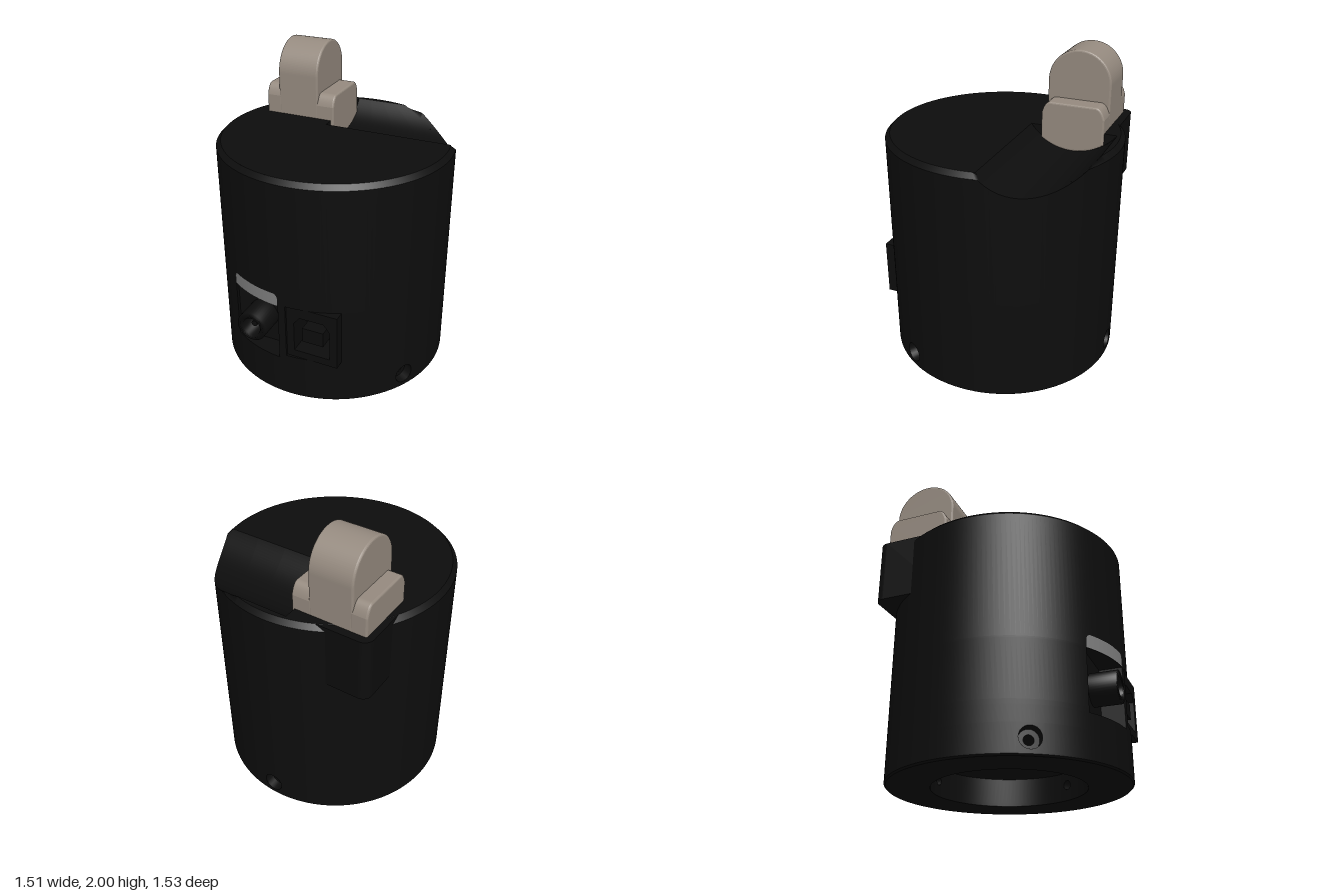
import * as THREE from 'three';
import { ParametricGeometry } from 'three/addons/geometries/ParametricGeometry.js';

const R = 0.755, TOP = 1.52, CH = 0.03, BORE = 0.48, BORE_H = 0.18;
const HOLE_Y = 0.1, HOLE_HALF = 0.1;
// Groove across the lid: a cylinder running along x
const GR = 0.355, GY = 1.735, GW = 0.41, GX = -0.13;
const GHALF = Math.sqrt(GR * GR - (GY - TOP) ** 2);

const black = new THREE.MeshStandardMaterial({ color: 0x0d0d0d, side: THREE.DoubleSide });
const taupe = new THREE.MeshStandardMaterial({ color: 0x968b80 });
const grey = new THREE.MeshStandardMaterial({ color: 0x808080, side: THREE.DoubleSide });

const lerp = THREE.MathUtils.lerp;
const angleAt = (x) => Math.asin(x / R);
const surfaceZ = (x) => Math.sqrt(R * R - x * x);
// Height of the lid at a point, given its distance w towards the back
const lidHeight = (x, w) =>
  x > GX && Math.abs(w - GW) < GHALF ? GY - Math.sqrt(GR * GR - (w - GW) ** 2) : TOP;

export function createModel() {
  const model = new THREE.Group();
  const body = new THREE.Group();
  body.name = 'body';
  body.position.z = -0.01;
  model.add(body);

  const add = (parent, name, geometry, material = black) => {
    const mesh = new THREE.Mesh(geometry, material);
    mesh.name = name;
    parent.add(mesh);
    return mesh;
  };
  const surface = (name, fn, nu, nv, material) =>
    add(body, name, new ParametricGeometry(fn, nu, nv), material);
  const polar = (t, angle, r, y) => t.set(r * Math.sin(angle), y, r * Math.cos(angle));

  // Outer wall: a grid of curved cells, leaving out the ports and screw holes
  const holes = [-Math.PI, -Math.PI / 3, Math.PI / 3];
  const ports = [
    { x0: -0.41, x1: -0.05, y0: 0.28, y1: 0.67, z: 0.61 },
    { x0: 0, x1: 0.34, y0: 0.31, y1: 0.68, z: 0.74 },
  ];
  const angles = [
    ...holes.flatMap((h) => [h - HOLE_HALF, h + HOLE_HALF]),
    ...ports.flatMap((p) => [angleAt(p.x0), angleAt(p.x1)]),
    Math.PI - HOLE_HALF,
  ].sort((a, b) => a - b);
  const levels = [0.01, 0.02, 0.18, 0.28, 0.31, 0.67, 0.68, TOP - CH];
  for (let i = 0; i < angles.length - 1; i++) {
    const a0 = angles[i], a1 = angles[i + 1], mid = (a0 + a1) / 2;
    const n = Math.ceil((a1 - a0) / 0.04);
    for (let j = 0; j < levels.length - 1; j++) {
      const y0 = levels[j], y1 = levels[j + 1], ym = (y0 + y1) / 2;
      const isHole = j === 1 && holes.some((h) => Math.abs(h - mid) < 0.01);
      const isPort = ports.some((p) => mid > angleAt(p.x0) && mid < angleAt(p.x1) && ym > p.y0 && ym < p.y1);
      if (isHole || isPort) continue;
      surface('outerWall', (u, v, t) => {
        const a = lerp(a0, a1, u);
        const lid = lidHeight(R * Math.sin(a), -R * Math.cos(a));
        polar(t, a, R, Math.min(lerp(y0, y1, v), lid));
      }, n, 1);
    }
  }

  // Chamfered top rim, following the groove where it runs out
  surface('topRim', (u, v, t) => {
    const a = u * Math.PI * 2, r = R - CH * v;
    const lid = lidHeight(r * Math.sin(a), -r * Math.cos(a));
    polar(t, a, r, Math.min(TOP - CH + CH * v, lid));
  }, 200, 1);

  // Flat lid with the groove left out
  const rc = R - CH, w0 = GW - GHALF, w1 = GW + GHALF;
  const lid = new THREE.Shape();
  lid.absarc(0, 0, rc, Math.asin(w1 / rc), Math.PI * 2 + Math.asin(w0 / rc), false);
  lid.lineTo(GX, w0);
  lid.lineTo(GX, w1);
  lid.closePath();
  add(body, 'lid', new THREE.ShapeGeometry(lid, 100).rotateX(-Math.PI / 2).translate(0, TOP, 0));

  // Groove floor and its end wall
  const grooveY = (w) => GY - Math.sqrt(GR * GR - (w - GW) ** 2);
  surface('grooveFloor', (u, v, t) => {
    const w = lerp(w0, w1, v);
    t.set(lerp(GX, Math.sqrt(rc * rc - w * w), u), grooveY(w), -w);
  }, 4, 40);
  surface('grooveEnd', (u, v, t) => {
    const w = lerp(w0, w1, u);
    t.set(GX, lerp(TOP, grooveY(w), v), -w);
  }, 24, 1);

  // Underside and shallow bore
  const under = [[R, 0.01], [R - 0.01, 0], [BORE, 0], [BORE, 0.02]];
  for (let i = 0; i < 3; i++) {
    const pair = [under[i + 1], under[i]].map((p) => new THREE.Vector2(...p));
    add(body, 'underside', new THREE.LatheGeometry(pair, 128));
  }
  add(body, 'boreCeiling', new THREE.CircleGeometry(BORE, 96).rotateX(Math.PI / 2).translate(0, BORE_H, 0));
  for (const h of holes) {
    surface('boreWall', (u, v, t) =>
      polar(t, lerp(h + HOLE_HALF, h + Math.PI * 2 / 3 - HOLE_HALF, u), BORE, lerp(0.02, BORE_H, v)), 36, 1);

    // Screw hole: wall patches around the opening and a stepped tube between
    for (const [r, hole] of [[R, 0.065], [BORE, 0.03]]) {
      surface('screwHoleWall', (u, v, t) => {
        const c = Math.cos(u * Math.PI * 2), s = Math.sin(u * Math.PI * 2);
        const k = 1 / Math.max(Math.abs(c), Math.abs(s));
        polar(t, h + lerp(hole * c / r, HOLE_HALF * c * k, v), r, HOLE_Y + lerp(hole * s, 0.08 * s * k, v));
      }, 32, 1);
    }
    const steps = [[R, 0.065], [R - 0.06, 0.06], [R - 0.06, 0.03], [BORE, 0.03]];
    for (let i = 0; i < 3; i++) {
      surface('screwHole', (u, v, t) => {
        const r = lerp(steps[i][0], steps[i + 1][0], v), q = lerp(steps[i][1], steps[i + 1][1], v);
        polar(t, h + q * Math.cos(u * Math.PI * 2) / r, r, HOLE_Y + q * Math.sin(u * Math.PI * 2));
      }, 24, 1);
    }
  }

  // Sides of each port, from the curved wall to the flat port face
  for (const { x0, x1, y0, y1, z } of ports) {
    for (const y of [y0, y1]) {
      surface('portEdge', (u, v, t) => {
        const x = lerp(x0, x1, u);
        t.set(x, y, lerp(surfaceZ(x), z, v));
      }, 12, 1);
    }
    for (const x of [x0, x1]) {
      surface('portSide', (u, v, t) => t.set(x, lerp(y0, y1, u), lerp(surfaceZ(x), z, v)), 1, 1);
    }
  }

  // Round power socket
  const p = ports[0];
  add(body, 'powerSocketFace', new THREE.PlaneGeometry(p.x1 - p.x0, p.y1 - p.y0)
    .translate((p.x0 + p.x1) / 2, (p.y0 + p.y1) / 2, p.z));
  const barrel = [[0.1, 0], [0.1, 0.165], [0.06, 0.165], [0.06, 0.01], [0, 0.01]].map((q) => new THREE.Vector2(...q));
  const barrelMesh = add(body, 'powerSocketBarrel', new THREE.LatheGeometry(barrel, 40).toNonIndexed());
  barrelMesh.geometry.rotateX(Math.PI / 2).translate(-0.23, 0.475, p.z);
  add(body, 'powerSocketPin', new THREE.CylinderGeometry(0.02, 0.02, 0.13, 16)
    .rotateX(Math.PI / 2).translate(-0.23, 0.475, p.z + 0.065));

  // Grey strip above the power socket, with rounded top corners
  surface('greyStrip', (u, v, t) => {
    const x = lerp(p.x0, p.x1, u);
    const d = Math.min(x - p.x0, p.x1 - x, 0.03);
    const top = 0.755 - 0.03 + Math.sqrt(Math.max(0, 0.0009 - (0.03 - d) ** 2));
    polar(t, angleAt(x), R + 0.003, lerp(p.y1, top, v));
  }, 60, 1, grey);

  // Square data socket with a tongue inside
  const q = ports[1];
  const face = new THREE.Shape([[q.x0, q.y0], [q.x1, q.y0], [q.x1, q.y1], [q.x0, q.y1]].map((c) => new THREE.Vector2(...c)));
  face.holes.push(new THREE.Path([[0.05, 0.36], [0.05, 0.56], [0.09, 0.61], [0.25, 0.61], [0.29, 0.56], [0.29, 0.36]]
    .map((c) => new THREE.Vector2(...c))));
  add(body, 'dataSocket', new THREE.ExtrudeGeometry(face, { depth: 0.2, bevelEnabled: false }).translate(0, 0, q.z - 0.2));
  add(body, 'dataSocketBack', new THREE.BoxGeometry(0.3, 0.33, 0.02).translate(0.17, 0.495, q.z - 0.19));
  add(body, 'dataSocketTongue', new THREE.BoxGeometry(0.14, 0.1, 0.17).translate(0.17, 0.48, q.z - 0.1));

  // Corner housing beside the roller, rounded at the outer corner
  const corner = new THREE.Shape();
  corner.moveTo(-0.2, 0.2);
  corner.lineTo(-0.2, 0.66);
  corner.lineTo(-0.58, 0.66);
  corner.absarc(-0.58, 0.6, 0.06, Math.PI / 2, Math.PI, false);
  corner.lineTo(-0.64, 0.2);
  add(body, 'cornerHousing', new THREE.ExtrudeGeometry(corner, { depth: 0.409, bevelEnabled: false, curveSegments: 12 })
    .rotateX(-Math.PI / 2).translate(0, 1.11, 0));

  // Roller assembly: side profiles extruded along x
  const roller = new THREE.Group();
  roller.name = 'roller';
  model.add(roller);
  const C = 0.415, H = 0.205, B = 0.012;
  const slab = (name, shape, x0, x1) => add(roller, name, new THREE.ExtrudeGeometry(shape, {
    depth: x1 - x0 - 2 * B, bevelThickness: B, bevelSize: B, bevelOffset: -B, bevelSegments: 3, curveSegments: 32,
  }).rotateY(Math.PI / 2).translate(x0 + B, 0, 0), taupe);

  const tab = new THREE.Shape();
  tab.moveTo(C - H, 1.45);
  tab.lineTo(C + H, 1.45);
  tab.absarc(C, 2 - H, H, 0, Math.PI, false);
  slab('rollerTab', tab, -0.51, -0.225);

  // Shoulder blocks with sloped tops and a bottom that fits the groove
  const shoulder = (top) => {
    const s = new THREE.Shape();
    const half = Math.asin(H / GR);
    s.absarc(C, GY, GR, -Math.PI / 2 - half, -Math.PI / 2 + half, false);
    s.lineTo(C + H, top - 0.075);
    s.quadraticCurveTo(C + H - 0.02, top, C + H - 0.06, top);
    s.lineTo(C - H + 0.06, top);
    s.quadraticCurveTo(C - H + 0.02, top, C - H, top - 0.075);
    s.closePath();
    return s;
  };
  slab('rightShoulder', shoulder(1.715), -0.6, -0.49);
  slab('leftShoulder', shoulder(1.685), -0.245, -0.11);
  add(roller, 'rollerBase', new THREE.BoxGeometry(0.4, 0.16, 2 * H - 0.002).translate(-0.36, 1.53, -C), taupe);

  return model;
}
